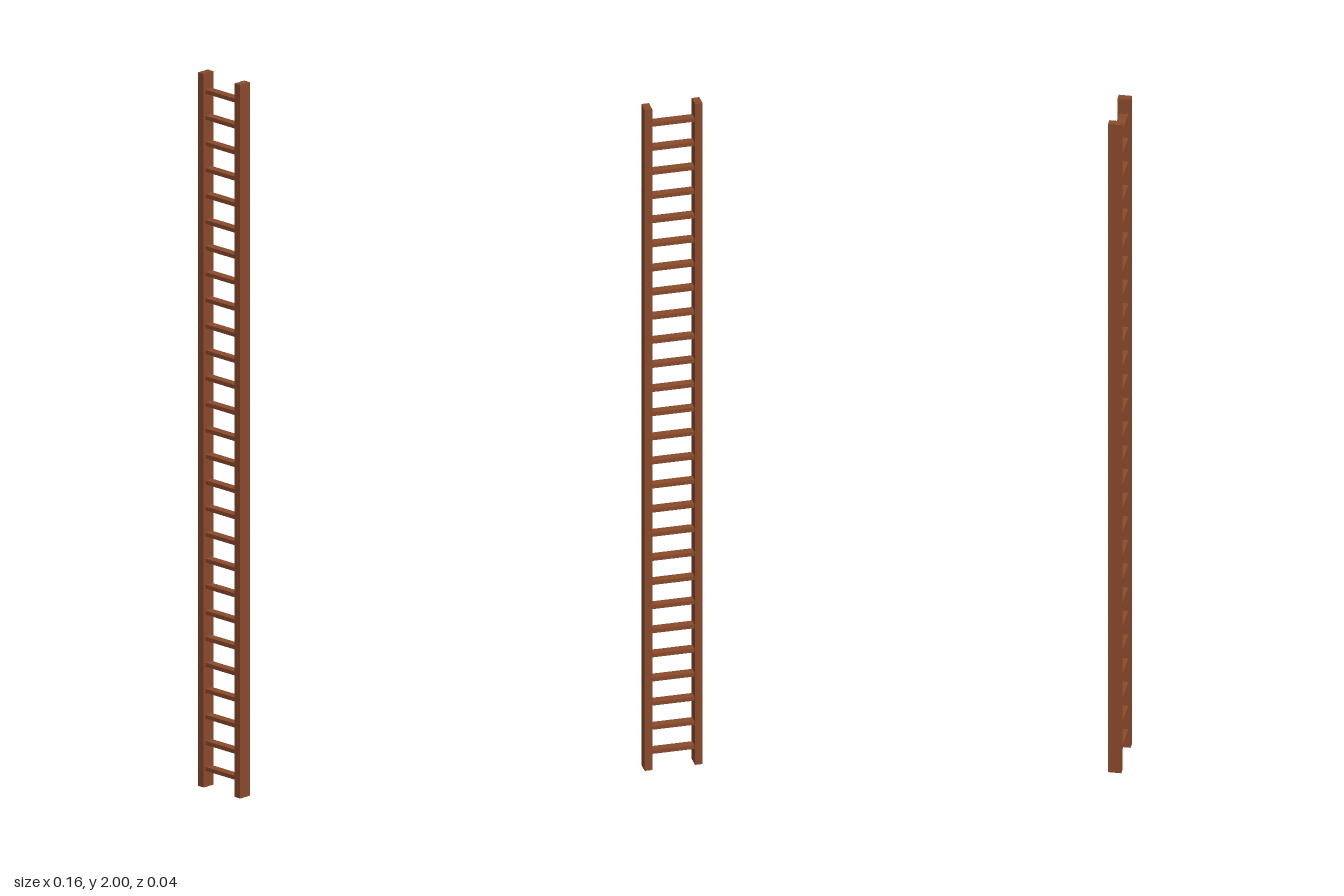
import * as THREE from 'three';

export function createModel() {
  const ladder = new THREE.Group();
  ladder.name = 'ladder';
  const wood = new THREE.MeshStandardMaterial({ color: 0x8b4a2b });
  wood.name = 'brown wood';

  const height = 2, width = 0.16, railWidth = 0.021, railDepth = 0.036;
  const rungCount = 27, rungSpacing = 0.073, rungHeight = 0.011, rungDepth = 0.024;

  const addBox = (name, w, h, d, x, y) => {
    const mesh = new THREE.Mesh(new THREE.BoxGeometry(w, h, d), wood);
    mesh.name = name;
    mesh.position.set(x, y, 0);
    ladder.add(mesh);
  };

  // Side rails
  const railX = (width - railWidth) / 2;
  addBox('leftRail', railWidth, height, railDepth, railX, height / 2);
  addBox('rightRail', railWidth, height, railDepth, -railX, height / 2);

  // Flat rungs, evenly spaced about the middle
  for (let i = 0; i < rungCount; i++) {
    const y = height / 2 + (i - (rungCount - 1) / 2) * rungSpacing;
    addBox(`rung${i + 1}`, width - 2 * railWidth, rungHeight, rungDepth, 0, y);
  }
  return ladder;
}
